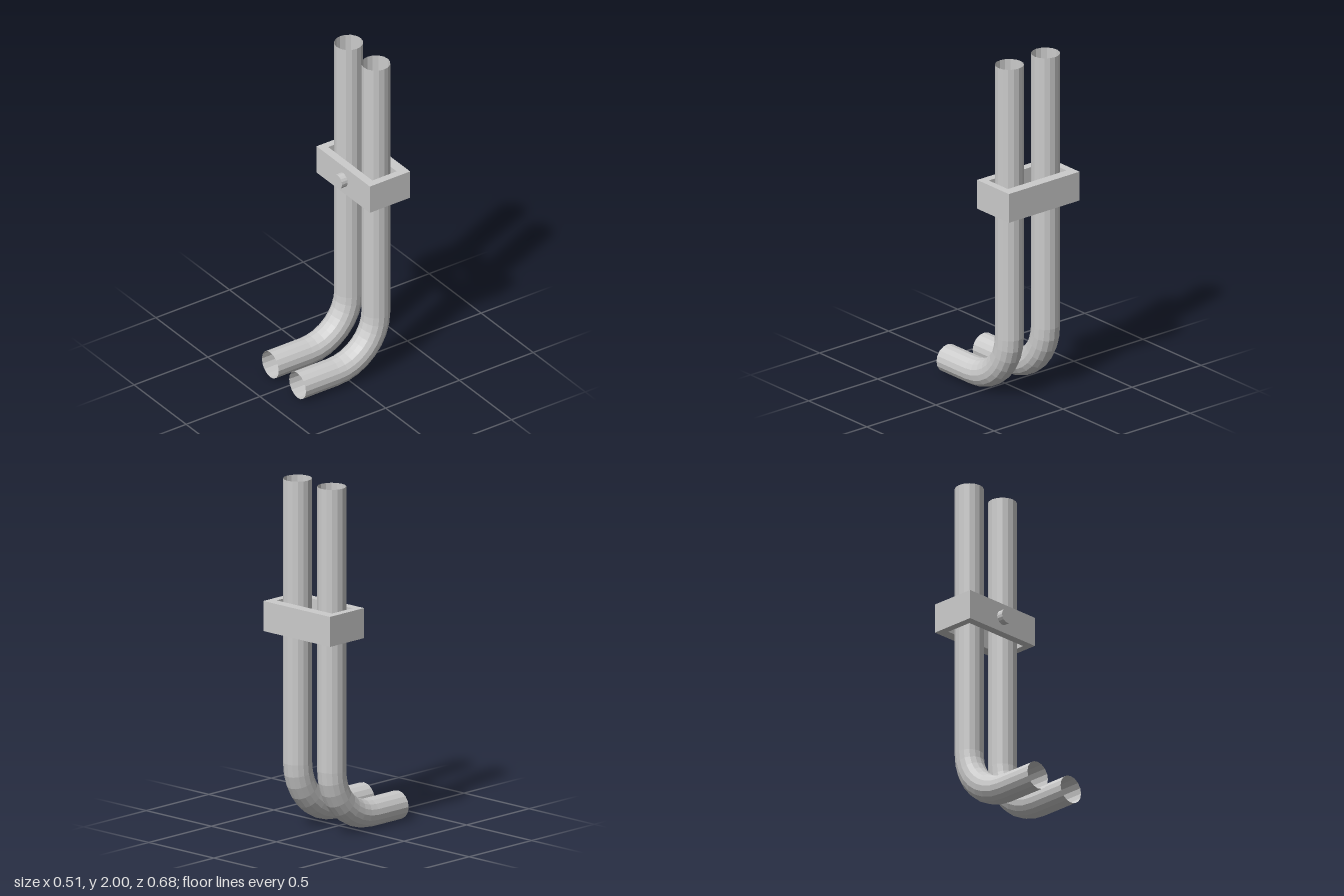
import * as THREE from 'three';
import { mergeGeometries } from 'three/addons/utils/BufferGeometryUtils.js';

const R = 0.081;          // pipe radius
const BEND = 0.295;       // bend radius
const SIDES = 16;
const PIPE_X = 0.131;
const PIPE_Z = -0.194;
const FRONT_Z = 0.337;

// open pipe: upright length, quarter bend, short run to the front
function pipeGeometry() {
  const bendY = R + BEND, bendZ = PIPE_Z + BEND;
  const upright = new THREE.CylinderGeometry(R, R, 2 - bendY, SIDES, 1, true)
    .translate(0, (2 + bendY) / 2, PIPE_Z);
  const bend = new THREE.TorusGeometry(BEND, R, SIDES, 8, Math.PI / 2)
    .rotateZ(-Math.PI / 2).rotateY(Math.PI / 2).translate(0, bendY, bendZ);
  const outlet = new THREE.CylinderGeometry(R, R, FRONT_Z - bendZ, SIDES, 1, true)
    .rotateX(Math.PI / 2).translate(0, R, (FRONT_Z + bendZ) / 2);
  return mergeGeometries([upright, bend, outlet]);
}

function rectangle(PathType, x, z0, z1) {
  // drawn in XY, with y = -z so it can be laid flat
  return new PathType().moveTo(-x, -z1).lineTo(x, -z1).lineTo(x, -z0).lineTo(-x, -z0).closePath();
}

export function createModel() {
  const group = new THREE.Group();
  const grey = new THREE.MeshStandardMaterial({ color: 0xcccccc, flatShading: true });
  const thin = new THREE.MeshStandardMaterial({ color: 0xcccccc, flatShading: true, side: THREE.DoubleSide });

  const add = (name, geometry, material) => {
    const mesh = new THREE.Mesh(geometry, material);
    mesh.name = name;
    group.add(mesh);
    return mesh;
  };

  // pair of bent pipes
  const pipe = pipeGeometry();
  add('leftPipe', pipe, thin).position.x = PIPE_X;
  add('rightPipe', pipe, thin).position.x = -PIPE_X;

  // rectangular clamp around both pipes
  const outline = rectangle(THREE.Shape, 0.256, -0.338, -0.065);
  outline.holes.push(rectangle(THREE.Path, 0.212, -0.277, -0.113));
  const clamp = new THREE.ExtrudeGeometry(outline, { depth: 0.172, bevelEnabled: false })
    .rotateX(-Math.PI / 2).translate(0, 1.13, 0);
  add('clampFrame', clamp, grey);

  // round knob on the front of the clamp
  const knob = new THREE.CylinderGeometry(0.042, 0.042, 0.038, SIDES)
    .rotateX(Math.PI / 2).translate(0, 1.216, -0.046);
  add('clampKnob', knob, grey);

  return group;
}
